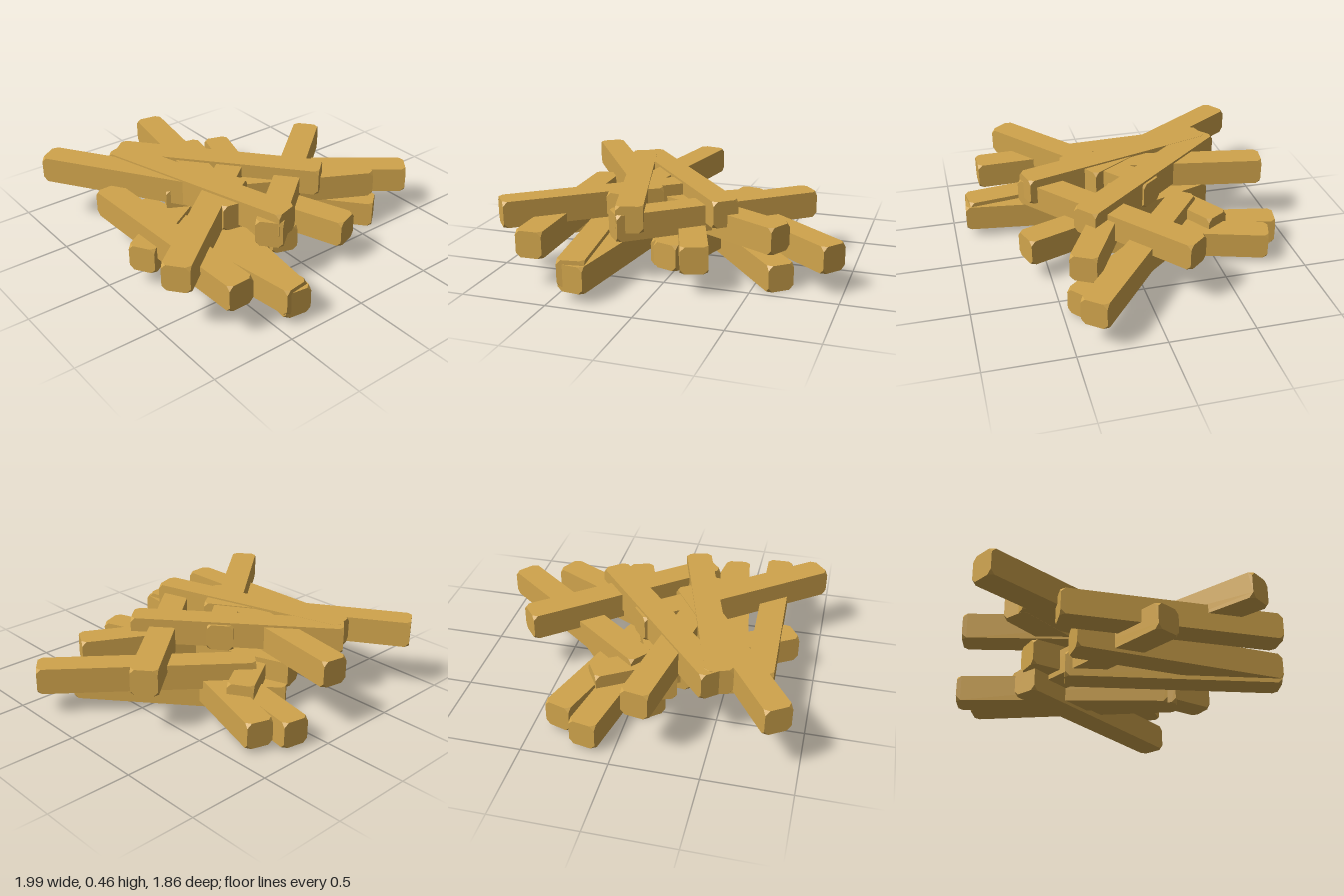
import * as THREE from 'three';
import { ConvexGeometry } from 'three/addons/geometries/ConvexGeometry.js';

const LENGTH = 1.257, THICK = 0.156, CUT = 0.026;

// A square beam lying along x, with its eight corners cut off
function beamGeometry() {
  const points = [];
  const x = LENGTH / 2, y = THICK / 2, z = THICK / 2;
  for (const sx of [-1, 1]) for (const sy of [-1, 1]) for (const sz of [-1, 1]) {
    points.push(
      new THREE.Vector3(sx * (x - CUT), sy * y, sz * z),
      new THREE.Vector3(sx * x, sy * (y - CUT), sz * z),
      new THREE.Vector3(sx * x, sy * y, sz * (z - CUT)),
    );
  }
  return new ConvexGeometry(points);
}

// Each beam: centre x, centre z, underside height, heading in degrees from +x towards +z
const BEAMS = [
  // bottom layer
  [0.26, -0.065, 0.0, 50.3],
  [0.05, -0.297, 0.02, 101.2],
  [0.155, -0.21, 0.035, 107.4],
  [-0.307, 0.294, 0.055, 97.3],
  [-0.475, 0.283, 0.08, 82],
  // middle layer
  [-0.315, -0.203, 0.1, -31.5],
  [0.013, 0.045, 0.13, 70.3],
  [0.455, 0.0, 0.14, 38.6],
  [-0.70, 0.18, 0.18, 88.3],
  [0.088, 0.088, 0.215, 28],
  // top layer
  [0.20, 0.144, 0.25, -39.5],
  [-0.457, 0.222, 0.285, -38.5],
  [-0.233, -0.297, 0.285, 100],
  [-0.53, -0.345, 0.29, 56.9],
  [-0.096, -0.18, 0.299, 50],
  [-0.35, -0.037, 0.30, 73.9],
];

export function createModel() {
  const model = new THREE.Group();
  model.name = 'beamPile';
  const wood = new THREE.MeshStandardMaterial({ color: 0xd0a44c });
  wood.name = 'wood';
  const geometry = beamGeometry();

  BEAMS.forEach(([x, z, bottom, heading], i) => {
    const beam = new THREE.Mesh(geometry, wood);
    beam.name = `beam${i + 1}`;
    beam.position.set(x, bottom + THICK / 2, z);
    beam.rotation.y = -THREE.MathUtils.degToRad(heading);
    model.add(beam);
  });
  return model;
}
